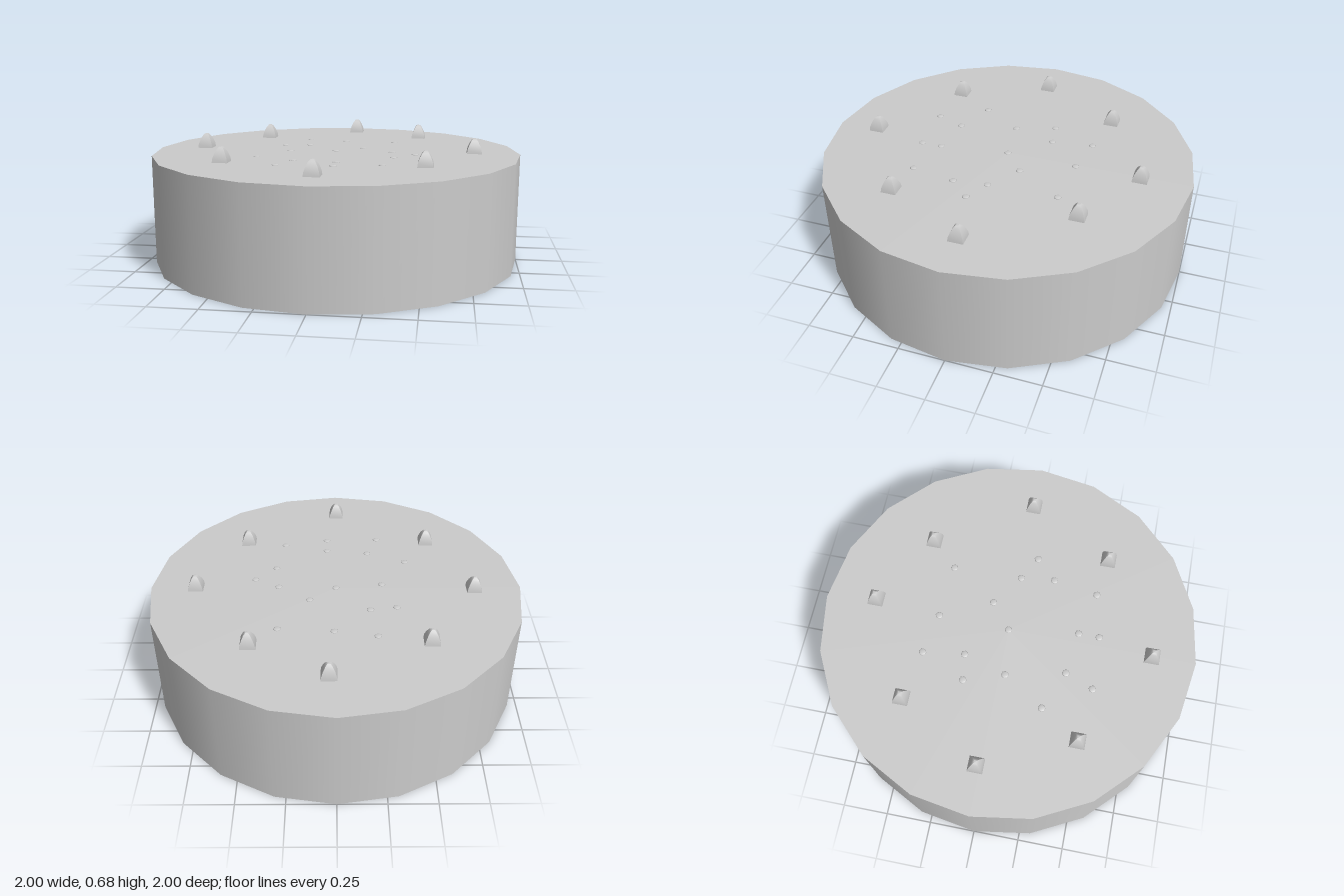
import * as THREE from 'three';
import { toCreasedNormals } from 'three/addons/utils/BufferGeometryUtils.js';

const H = 0.587; // height of the cake's top face

export function createModel() {
  const model = new THREE.Group();
  const mat = new THREE.MeshStandardMaterial({ color: 0xcccccc });
  const add = (name, geometry, x, y, z) => {
    const mesh = new THREE.Mesh(geometry, mat);
    mesh.name = name;
    mesh.position.set(x, y, z);
    model.add(mesh);
  };

  // Twenty-sided body with smooth sides
  add('cakeBody', new THREE.CylinderGeometry(1, 1, H, 20), 0, H / 2, 0);

  // Four-sided cream dollop: half width and height up the profile
  const profile = [[0, 0], [0.04, 0], [0.037, 0.022], [0.028, 0.047], [0.017, 0.068], [0.008, 0.078], [0, 0.08]]
    .map(([w, y]) => new THREE.Vector2(w * Math.SQRT2, y));
  const dollop = toCreasedNormals(new THREE.LatheGeometry(profile, 4).rotateY(Math.PI / 4), 0.7);

  // Ring of slightly uneven dollops: x, z, lift
  const ring = [
    [0.755, 0, 0], [0.505, 0.46, 0], [-0.005, 0.77, 0], [-0.525, 0.46, 0],
    [-0.745, -0.02, 0], [-0.475, -0.47, 0], [0.035, -0.73, 0.008], [0.435, -0.5, 0.008],
  ];
  for (const [x, z, lift] of ring) add('dollop', dollop, x, H + 0.004 + lift, z);

  // Nearly flat sprinkles scattered over the middle: x, z
  const sprinkle = new THREE.SphereGeometry(0.02, 8, 3, 0, Math.PI * 2, 0, Math.PI / 2).scale(1, 0.25, 1);
  const spots = [
    [-0.32, -0.18], [-0.21, -0.42], [-0.18, -0.2], [-0.25, 0.03], [-0.39, 0.25],
    [-0.18, 0.34], [-0.24, 0.49], [0.05, 0.37], [0.05, 0.48], [0.29, 0.43],
    [0, 0], [0.14, -0.11], [0.3, -0.36], [0.01, -0.38], [0.31, 0.01],
    [0.33, 0.19], [0.44, 0.08],
  ];
  for (const [x, z] of spots) add('sprinkle', sprinkle, x, H, z);

  return model;
}
